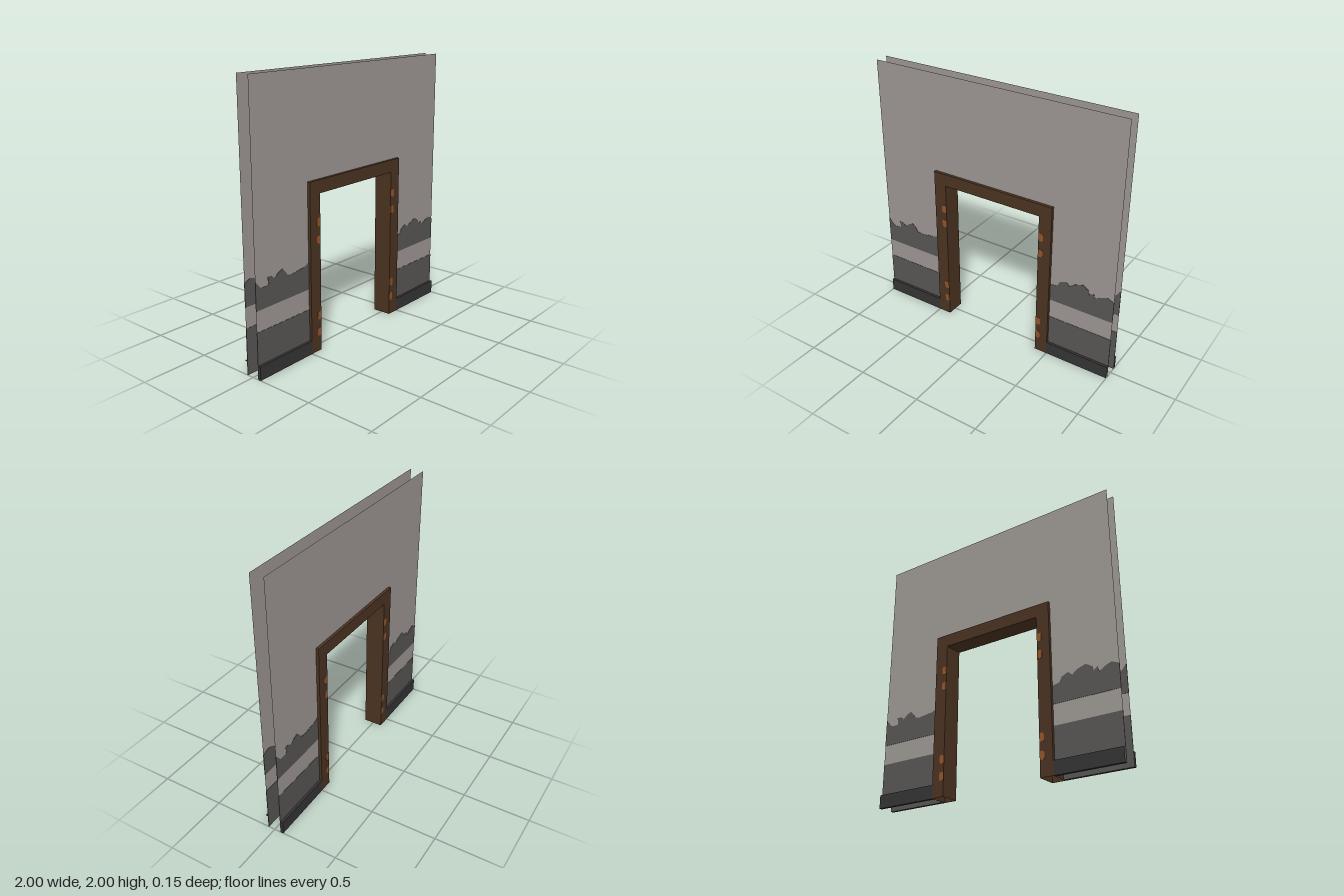
import * as THREE from 'three';

const paint = (name, color, side = THREE.FrontSide) => {
  const m = new THREE.MeshStandardMaterial({ color, side });
  m.name = name;
  return m;
};

const WALL_Z = 0.051;   // wall sheet offset from the centre
const DEPTH = 0.073;    // half depth of the door frame

// Ragged upper edges of the grime, from left to right
const leftEdge = [[-1, .69], [-.975, .66], [-.95, .633], [-.89, .633], [-.88, .65], [-.893, .69],
  [-.855, .687], [-.825, .665], [-.8, .69], [-.755, .71], [-.73, .685], [-.71, .655],
  [-.67, .645], [-.6, .655], [-.55, .66], [-.5, .68]];
const rightEdge = [[.5, .618], [.555, .628], [.575, .665], [.625, .687], [.655, .66], [.695, .69],
  [.76, .71], [.805, .68], [.81, .65], [.845, .668], [.855, .633], [.9, .66], [.945, .678], [1, .655]];

const polygon = (pts) => new THREE.Shape(pts.map(([x, y]) => new THREE.Vector2(x, y)));

// Upside-down U outline: outer half width and height, inner half width and height
const archShape = (w, h, iw, ih) => polygon([
  [-w, 0], [-iw, 0], [-iw, ih], [iw, ih], [iw, 0], [w, 0], [w, h], [-w, h]]);

function add(parent, name, geometry, material, x = 0, y = 0, z = 0) {
  const mesh = new THREE.Mesh(geometry, material);
  mesh.name = name;
  mesh.position.set(x, y, z);
  parent.add(mesh);
  return mesh;
}

const plate = (shape, depth) => new THREE.ExtrudeGeometry(shape, { depth, bevelEnabled: false });

export function createModel() {
  const model = new THREE.Group();
  model.name = 'doorway';
  const plaster = paint('plaster', 0x9d9793, THREE.DoubleSide);
  const grime = paint('grime', 0x585654);
  const wood = paint('wood', 0x4a3321, THREE.DoubleSide);
  const rust = paint('rust', 0x94532a);
  const skirting = paint('skirting', 0x343434);

  // One face of the doorway: wall sheet, grime, skirting and hinge plates
  function buildFace(name) {
    const face = new THREE.Group();
    face.name = name;
    add(face, 'wall', new THREE.ShapeGeometry(archShape(1, 2, .5, 1.25)), plaster, 0, 0, WALL_Z);

    for (const [side, edge] of [[-1, leftEdge], [1, rightEdge]]) {
      const [a, b] = [edge[0][0], edge[edge.length - 1][0]];
      // Grime above and below the clean stripe, showing on both sides of the sheet
      const upper = polygon([[a, .485], ...edge, [b, .485]]);
      const lower = polygon([[a, 0], [b, 0], [b, .335], [a, .335]]);
      add(face, 'upperGrime', plate(upper, .004), grime, 0, 0, WALL_Z - .002);
      add(face, 'lowerGrime', plate(lower, .004), grime, 0, 0, WALL_Z - .002);

      // Skirting board, open at its right end
      const board = new THREE.BoxGeometry(.5, .1, .019);
      if (side > 0) board.setIndex(Array.from(board.index.array).slice(6));
      add(face, 'skirtingBoard', board, skirting, side * .75, .05, .0635);

      // Hinge plates with clipped outer corners
      const heights = side < 0 ? [.957, .832, .272, .147] : [.992, .863, .27, .147];
      const hinge = polygon([[.403, -.026], [.409, -.031], [.43, -.031], [.438, -.02],
        [.438, .02], [.43, .031], [.409, .031], [.403, .026]].map(([x, y]) => [x * side, y]));
      for (const y of heights) add(face, 'hingePlate', plate(hinge, .003), rust, 0, y, DEPTH - .001);
    }
    return face;
  }

  const front = buildFace('frontFace');
  const back = buildFace('backFace');
  back.rotation.y = Math.PI;
  model.add(front, back);

  // Hollow door frame, open underneath
  const frame = new THREE.Group();
  frame.name = 'doorFrame';
  const casing = new THREE.ShapeGeometry(archShape(.5, 1.25, .4, 1.155));
  add(frame, 'frontCasing', casing, wood, 0, 0, DEPTH);
  add(frame, 'backCasing', casing, wood, 0, 0, -DEPTH).rotation.y = Math.PI;
  for (const s of [-1, 1]) {
    add(frame, 'outerJamb', new THREE.PlaneGeometry(DEPTH * 2, 1.25), wood, s * .5, .625)
      .rotation.y = s * Math.PI / 2;
    add(frame, 'innerJamb', new THREE.PlaneGeometry(DEPTH * 2, 1.155), wood, s * .4, .5775)
      .rotation.y = -s * Math.PI / 2;
  }
  add(frame, 'headTop', new THREE.PlaneGeometry(1, DEPTH * 2), wood, 0, 1.25).rotation.x = -Math.PI / 2;
  add(frame, 'headUnderside', new THREE.PlaneGeometry(.8, DEPTH * 2), wood, 0, 1.155).rotation.x = Math.PI / 2;
  model.add(frame);

  return model;
}
